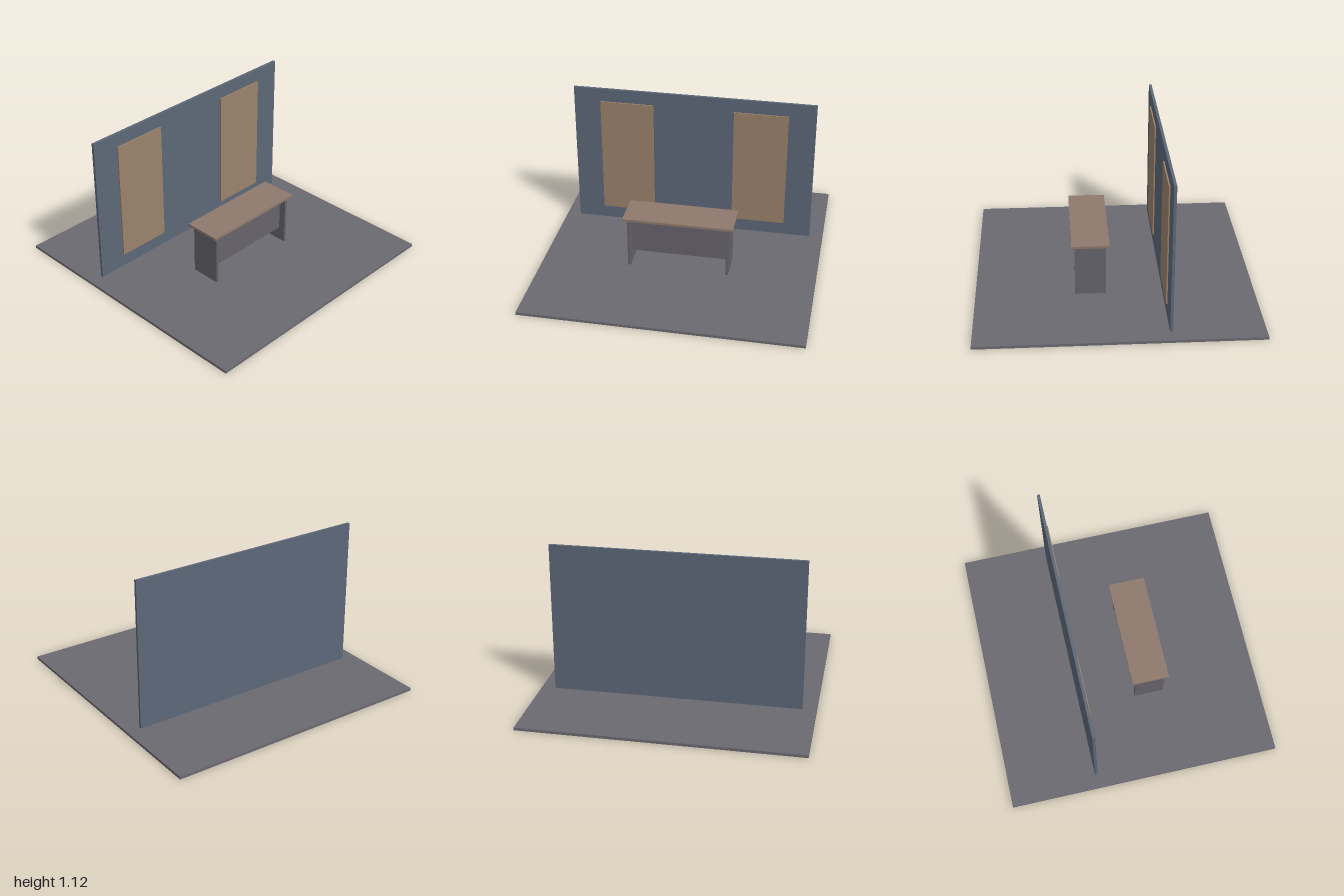
import * as THREE from 'three';

export function createModel() {
  const model = new THREE.Group();
  const mat = (color) => new THREE.MeshStandardMaterial({ color });
  const floorMat = mat(0x6c6a71);
  const wallMat = mat(0x5d6878);
  const panelMat = mat(0x9a826b);
  const topMat = mat(0x8e796c);
  const legMat = mat(0x66646b);

  // Box given by its lower and upper limits on each axis
  const box = (parent, name, material, [x0, x1], [y0, y1], [z0, z1]) => {
    const mesh = new THREE.Mesh(new THREE.BoxGeometry(x1 - x0, y1 - y0, z1 - z0), material);
    mesh.position.set((x0 + x1) / 2, (y0 + y1) / 2, (z0 + z1) / 2);
    mesh.name = name;
    parent.add(mesh);
  };

  // Floor and back wall
  box(model, 'floor', floorMat, [-1, 1], [0, 0.02], [-1, 1]);
  box(model, 'backWall', wallMat, [-0.9, 0.9], [0.02, 1.12], [-0.36, -0.34]);

  // Desk with a top, two slab legs and a front panel
  const desk = new THREE.Group();
  desk.name = 'desk';
  model.add(desk);
  box(desk, 'deskTop', topMat, [-0.4, 0.4], [0.404, 0.422], [0.04, 0.31]);
  box(desk, 'modestyPanel', legMat, [-0.35, 0.35], [0.12, 0.373], [0.215, 0.235]);

  // Mirrored pairs: wall panels and desk legs
  for (const [side, s] of [['left', 1], ['right', -1]]) {
    const span = (a, b) => (s > 0 ? [a, b] : [-b, -a]);
    box(model, side + 'WallPanel', panelMat, span(0.3, 0.7), [0.12, 1.02], [-0.34, -0.33]);
    box(desk, side + 'Leg', legMat, span(0.35, 0.37), [0.02, 0.404], [0.065, 0.287]);
  }

  return model;
}
